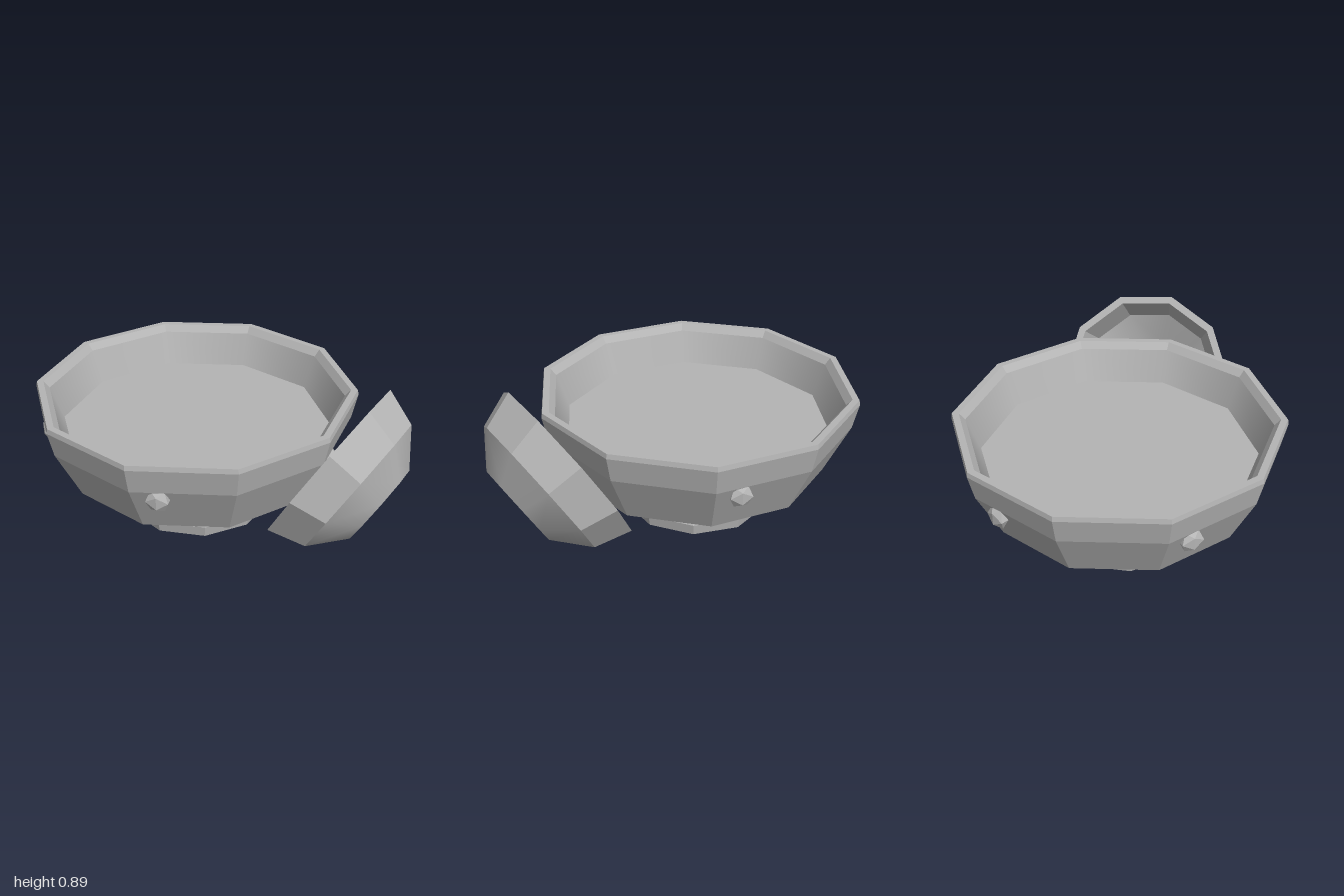
import * as THREE from 'three';
import { mergeGeometries } from 'three/addons/utils/BufferGeometryUtils.js';

const SIDES = 10;
const rad = THREE.MathUtils.degToRad;

// Ten-sided turned form; each band is faceted unless its start point is flagged smooth.
function turned(profile, angle) {
  const bands = [];
  for (let i = 0; i < profile.length - 1; i++) {
    const [a, b] = [profile[i], profile[i + 1]];
    const points = [new THREE.Vector2(a[0], a[1]), new THREE.Vector2(b[0], b[1])];
    const band = new THREE.LatheGeometry(points, SIDES, rad(angle)).toNonIndexed();
    if (!a[2]) band.computeVertexNormals();
    bands.push(band);
  }
  return mergeGeometries(bands);
}

export function createModel() {
  const model = new THREE.Group();
  model.name = 'bowlSet';
  const clay = new THREE.MeshStandardMaterial({ color: 0xb4b4b4 });
  clay.name = 'grey clay';

  const add = (parent, name, geometry) => {
    const mesh = new THREE.Mesh(geometry, clay);
    mesh.name = name;
    parent.add(mesh);
    return mesh;
  };

  // Large bowl, off-centre to the right of the model
  const bowl = new THREE.Group();
  bowl.name = 'largeBowl';
  bowl.position.x = -0.165;
  model.add(bowl);

  // Hollow foot ring
  add(bowl, 'foot', turned([
    [0, 0.09], [0.24, 0.09], [0.305, 0], [0.325, 0],
    [0.395, 0.03], [0.405, 0.09], [0.39, 0.115], [0.3, 0.115],
  ], 1));

  // Outer wall, with a smooth lower cone
  add(bowl, 'outerWall', turned([
    [0.365, 0.1, true], [0.685, 0.28], [0.815, 0.55], [0.845, 0.685],
  ], 8.8));

  // Rim and inner wall
  add(bowl, 'rim', turned([
    [0.845, 0.685], [0.84, 0.71], [0.805, 0.71], [0.775, 0.675],
  ], 8.8));
  add(bowl, 'innerWall', turned([[0.775, 0.675, true], [0.71, 0.5]], 8.8));

  // Flat surface inside the bowl
  add(bowl, 'bowlFloor', turned([[0.71, 0.5], [0, 0.5]], 8.8));

  // Five faceted studs around the wall
  const studShape = new THREE.IcosahedronGeometry(0.065, 0);
  studShape.scale(1, 0.95, 0.55);
  for (let i = 0; i < 5; i++) {
    const angle = rad(18 + i * 72);
    const stud = add(bowl, 'stud', studShape);
    stud.position.set(0.775 * Math.sin(angle), 0.5, 0.775 * Math.cos(angle));
    stud.rotation.y = angle;
  }

  // Small bowl leaning on its side against the large one
  const lid = new THREE.Group();
  lid.name = 'leaningBowl';
  lid.position.set(0.607, 0.488, 0);
  lid.rotation.z = rad(59.7);
  model.add(lid);
  add(lid, 'leaningBowlShell', turned([
    [0, -0.327], [0.232, -0.327, true], [0.411, -0.188], [0.475, 0],
    [0.435, 0], [0.375, -0.165, true], [0.215, -0.29], [0, -0.29],
  ], 77));

  return model;
}
